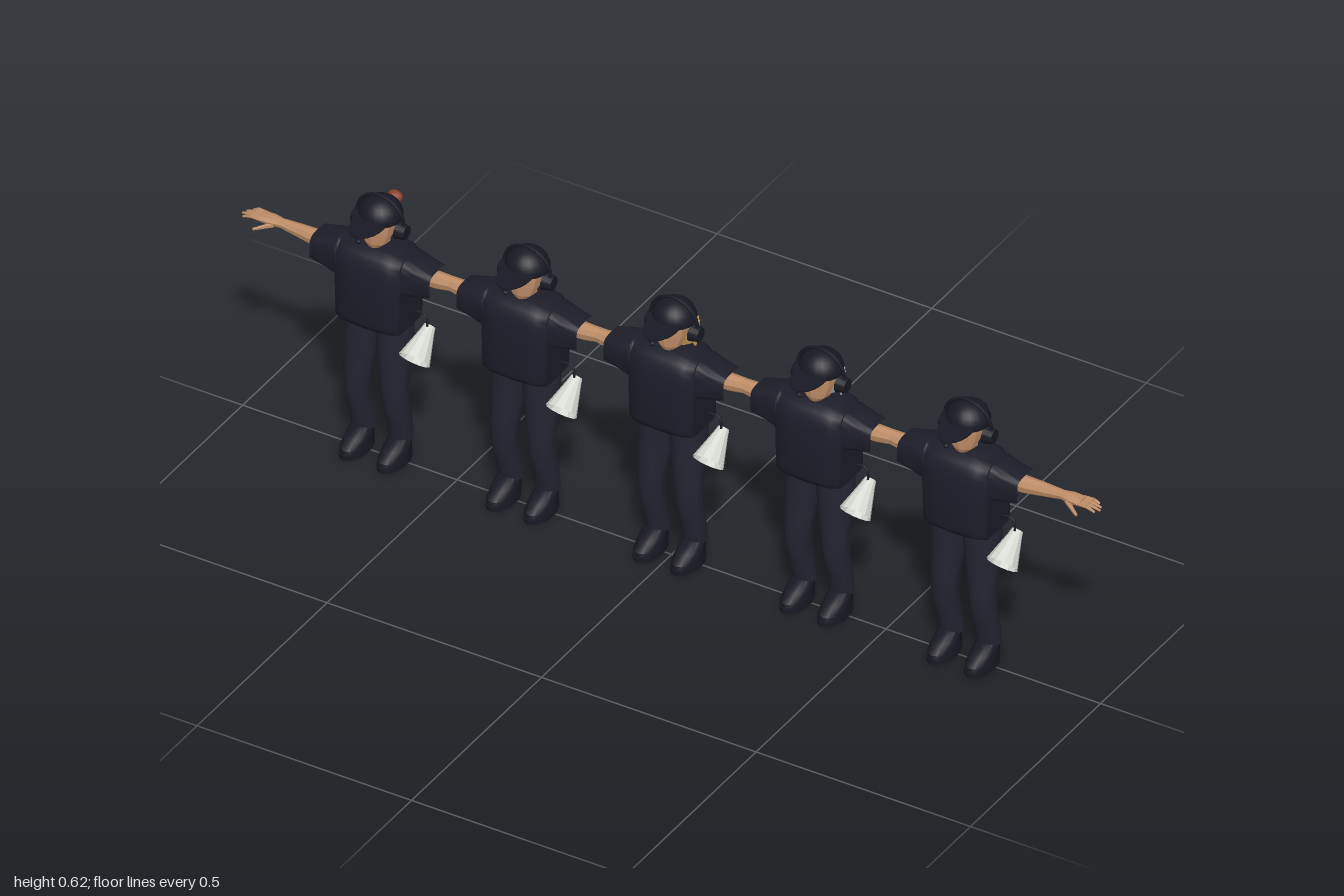
import * as THREE from 'three';
import { toCreasedNormals } from 'three/addons/utils/BufferGeometryUtils.js';

const V = (x, y, z) => new THREE.Vector3(x, y, z);
const mat = (name, color, side = THREE.FrontSide) => {
  const m = new THREE.MeshStandardMaterial({ color, side });
  m.name = name;
  return m;
};

// Skin stretched over rounded sections [t, a, b, ra, rb] along the x or y axis, t increasing.
// pTop and pLow set how square each half of a section is (1 = ellipse).
function loft(axis, sections, { n = 14, caps = true, pTop = 1, pLow = pTop, crease = 0.8 } = {}) {
  const pos = [], idx = [];
  const pow = (v, p) => Math.sign(v) * Math.pow(Math.abs(v), p);
  for (const [t, a, b, ra, rb] of sections) {
    for (let i = 0; i < n; i++) {
      const w = (i / n) * Math.PI * 2, c = Math.cos(w), s = Math.sin(w);
      const p = c < 0 ? pLow : pTop;
      const u = Math.abs(c) < 1e-6 ? 0 : pow(c, p), v = Math.abs(s) < 1e-6 ? 0 : pow(s, p);
      if (axis === 'x') pos.push(t, a + ra * u, b + rb * v);
      else pos.push(a + ra * v, t, b + rb * u);
    }
  }
  const last = sections.length - 1;
  for (let k = 0; k < last; k++) for (let i = 0; i < n; i++) {
    const j = (i + 1) % n, A = k * n + i, B = k * n + j, C = B + n, D = A + n;
    idx.push(A, B, C, A, C, D);
  }
  if (caps) for (let i = 1; i < n - 1; i++) {
    idx.push(0, i + 1, i, last * n, last * n + i, last * n + i + 1);
  }
  const g = new THREE.BufferGeometry();
  g.setAttribute('position', new THREE.Float32BufferAttribute(pos, 3));
  g.setIndex(idx);
  return toCreasedNormals(g, crease);
}

// Round bar or cone between two points
function bar(p, q, rp, rq = rp, n = 7, open = false) {
  const d = q.clone().sub(p);
  const g = new THREE.CylinderGeometry(rq, rp, d.length(), n, 1, open);
  g.applyQuaternion(new THREE.Quaternion().setFromUnitVectors(V(0, 1, 0), d.normalize()));
  const c = p.clone().add(q).multiplyScalar(0.5);
  return toCreasedNormals(g.translate(c.x, c.y, c.z), 0.5);
}
const ball = (x, y, z, rx, ry = rx, rz = rx) =>
  new THREE.SphereGeometry(1, 10, 8).scale(rx, ry, rz).translate(x, y, z);
const tube = (pts, r) => new THREE.TubeGeometry(new THREE.CatmullRomCurve3(pts), 14, r, 6);
const mirrorX = (secs) => secs.map(([t, ...r]) => [-t, ...r]).reverse();

export function createModel() {
  const M = {
    skin: mat('skin', 0xbd8c66),
    shirt: mat('shirt cloth', 0x1d1d29),
    pants: mat('trouser cloth', 0x242531),
    gear: mat('dark gear', 0x181923),
    horn: mat('pale horn', 0xd6d8d2, THREE.DoubleSide),
    red: mat('red hair', 0x8a412a),
    blonde: mat('blonde hair', 0xc39b52),
    grey: mat('grey hair', 0xa2a5ac),
    black: mat('black hair', 0x16161f),
  };

  // Shirt: one open tube from sleeve to sleeve that swells into the torso
  const halfShirt = [
    [0.03, 0.421, -0.006, 0.092, 0.063], [0.055, 0.42, -0.005, 0.09, 0.06],
    [0.073, 0.418, -0.004, 0.088, 0.047], [0.077, 0.467, -0.003, 0.04, 0.043],
    [0.1, 0.467, -0.002, 0.034, 0.039], [0.14, 0.466, -0.002, 0.026, 0.034],
  ];
  const shirtGeo = loft('x', [...mirrorX(halfShirt), [0, 0.421, -0.006, 0.093, 0.064], ...halfShirt],
    { n: 28, caps: false, pTop: 0.55, pLow: 0.2 });

  const armSecs = [
    [0.08, 0.468, -0.002, 0.02, 0.02], [0.14, 0.468, -0.002, 0.019, 0.018],
    [0.18, 0.47, -0.004, 0.015, 0.015], [0.225, 0.473, -0.004, 0.01, 0.011],
    [0.247, 0.474, -0.004, 0.01, 0.017], [0.272, 0.474, -0.004, 0.007, 0.018],
  ];
  const legSecs = (s) => [
    [0.045, 0.043, -0.019, 0.026, 0.023], [0.1, 0.045, -0.008, 0.026, 0.028],
    [0.15, 0.044, 0.005, 0.028, 0.03], [0.2, 0.042, 0.005, 0.031, 0.03],
    [0.25, 0.039, 0, 0.035, 0.036], [0.3, 0.037, -0.006, 0.037, 0.045],
    [0.338, 0.034, -0.008, 0.036, 0.05],
  ].map(([y, x, ...r]) => [y, s * x, ...r]);
  const shoeSecs = (s) => [
    [0.008, s * 0.044, 0.008, 0.027, 0.05], [0.02, s * 0.044, 0.007, 0.027, 0.05],
    [0.035, s * 0.044, -0.003, 0.025, 0.039], [0.052, s * 0.044, -0.019, 0.022, 0.023],
  ];
  const soleSecs = (s) => [
    [0, s * 0.044, 0.0085, 0.028, 0.052], [0.01, s * 0.044, 0.0085, 0.028, 0.052],
  ];

  function hairShell(bottom, wide) {
    return loft('y', [
      [bottom, 0, -0.026, wide * 0.9, 0.032], [bottom + 0.02, 0, -0.024, wide, 0.036],
      [0.58, 0, -0.018, 0.041, 0.036],
    ], { n: 16, crease: 0.2 });
  }

  function person(index) {
    const g = new THREE.Group();
    g.name = 'crewMember' + (index + 1);
    const add = (name, geo, material) => {
      const m = new THREE.Mesh(geo, material);
      m.name = name;
      g.add(m);
      return m;
    };

    add('shirt', shirtGeo, M.shirt);
    for (const s of [1, -1]) {
      const side = s > 0 ? 'left' : 'right';
      add(side + 'Leg', loft('y', legSecs(s), { n: 16, crease: 1.2 }), M.pants);
      add(side + 'Shoe', loft('y', shoeSecs(s), { n: 16 }), M.gear);
      add(side + 'Sole', loft('y', soleSecs(s), { n: 16 }), M.gear);
      add(side + 'Arm', loft('x', s > 0 ? armSecs : mirrorX(armSecs), { n: 9, crease: 0.4 }), M.skin);
      // Fingers and thumb
      for (let f = 0; f < 4; f++) {
        const z = 0.009 - f * 0.0087, len = [0.308, 0.315, 0.311, 0.301][f];
        const mid = V(s * 0.289, 0.475, z * 1.1);
        add(side + 'Finger', bar(V(s * 0.266, 0.474, z), mid, 0.0045, 0.004, 6), M.skin);
        add(side + 'FingerTip', bar(mid, V(s * len, 0.469, z * 1.2), 0.004, 0.0025, 6), M.skin);
      }
      add(side + 'Thumb', bar(V(s * 0.24, 0.47, 0.006), V(s * 0.275, 0.459, 0.027), 0.006, 0.003, 6), M.skin);
      // Ear cups
      add(side + 'EarCup', bar(V(s * 0.041, 0.55, -0.01), V(s * 0.062, 0.55, -0.01), 0.019, 0.015, 16), M.gear);
      add(side + 'Eye', new THREE.BoxGeometry(0.009, 0.004, 0.004).translate(s * 0.014, 0.56, 0.0255), M.gear);
    }

    // Neck, head and face
    add('neck', bar(V(0, 0.49, -0.012), V(0, 0.54, -0.008), 0.022, 0.019, 10), M.skin);
    add('head', loft('y', [
      [0.512, 0, 0.012, 0.014, 0.012], [0.522, 0, 0.006, 0.026, 0.022],
      [0.545, 0, -0.002, 0.035, 0.031], [0.575, 0, -0.007, 0.039, 0.037],
      [0.595, 0, -0.008, 0.034, 0.034],
    ], { n: 12, crease: 0.3 }), M.skin);
    add('nose', bar(V(0, 0.541, 0.03), V(0, 0.563, 0.026), 0.006, 0.002, 4), M.skin);

    // Cap with peak
    add('capDome', new THREE.SphereGeometry(1, 20, 8, 0, Math.PI * 2, 0, Math.PI / 2)
      .scale(0.046, 0.042, 0.046).translate(0, 0.574, -0.011), M.gear);
    add('capBand', loft('y', [[0.569, 0, -0.011, 0.045, 0.045], [0.577, 0, -0.011, 0.046, 0.046]], { n: 20 }), M.gear);
    add('capPeak', new THREE.CylinderGeometry(1, 1, 1, 20).scale(0.036, 0.003, 0.052)
      .rotateX(0.1).translate(0, 0.578, 0.033), M.gear);

    // Headset band and microphone
    add('headBand', new THREE.TorusGeometry(0.054, 0.004, 6, 22, Math.PI).translate(0, 0.565, -0.01), M.gear);
    for (const s of [1, -1]) add('bandEnd', bar(V(s * 0.054, 0.545, -0.01), V(s * 0.054, 0.566, -0.01), 0.004), M.gear);
    add('micBoom', tube([V(-0.055, 0.542, -0.005), V(-0.044, 0.532, 0.025), V(-0.022, 0.532, 0.042)], 0.0016), M.gear);
    add('micTip', ball(-0.019, 0.532, 0.044, 0.006, 0.0045, 0.0045), M.gear);

    // Hair, one style per person
    const [tone, bottom, wide] = [
      [M.red, 0.54, 0.036], [M.red, 0.532, 0.037], [M.blonde, 0.518, 0.044],
      [M.grey, 0.524, 0.041], [M.black, 0.535, 0.037],
    ][index];
    add('hair', hairShell(bottom, wide), tone);
    if (index === 2 || index === 3) {
      const drop = index === 2 ? 0.02 : 0.012;
      for (let k = 0; k < 9; k++) {
        const w = Math.PI * (k / 8), x = Math.cos(w) * wide * 0.92, z = -0.022 - Math.sin(w) * 0.034;
        add('hairLock', bar(V(x, bottom - drop + (k % 2) * 0.006, z - 0.003), V(x * 0.95, 0.56, z * 0.95), 0.002, 0.01, 5), tone);
      }
    }
    if (index === 0) add('hairBun', ball(0, 0.583, -0.066, 0.017, 0.014, 0.014), tone);
    if (index === 4) add('ponytail', loft('y', [
      [0.507, 0, -0.07, 0.003, 0.003], [0.528, 0, -0.073, 0.012, 0.009],
      [0.555, 0, -0.07, 0.012, 0.012], [0.574, 0, -0.062, 0.009, 0.013], [0.582, 0, -0.056, 0.005, 0.008],
    ], { n: 9, crease: 0.3 }), tone);

    // Megaphone hanging at the left hip
    const mx = 0.11, back = V(mx, 0.328, -0.009), mouth = V(mx, 0.288, 0.041);
    add('megaphoneHorn', bar(back, mouth, 0.015, 0.034, 12, true), M.horn);
    add('megaphoneDriver', bar(back, V(mx, 0.298, 0.028), 0.014, 0.008, 10), M.horn);
    add('megaphoneBack', bar(V(mx, 0.336, -0.019), back, 0.012, 0.015, 12), M.horn);
    add('megaphoneGrip', bar(V(mx, 0.322, -0.006), V(mx, 0.268, -0.008), 0.006, 0.005, 8), M.gear);
    add('megaphoneStrap', tube([
      V(mx, 0.325, -0.005), V(mx, 0.35, -0.009), V(0.104, 0.365, -0.012), V(0.085, 0.366, -0.012), V(0.07, 0.362, -0.012),
    ], 0.0028), M.gear);
    return g;
  }

  // Row of five crew members
  const root = new THREE.Group();
  root.name = 'crewRow';
  for (let i = 0; i < 5; i++) {
    const p = person(i);
    p.position.x = (i - 2) * 0.3425;
    root.add(p);
  }
  return root;
}
